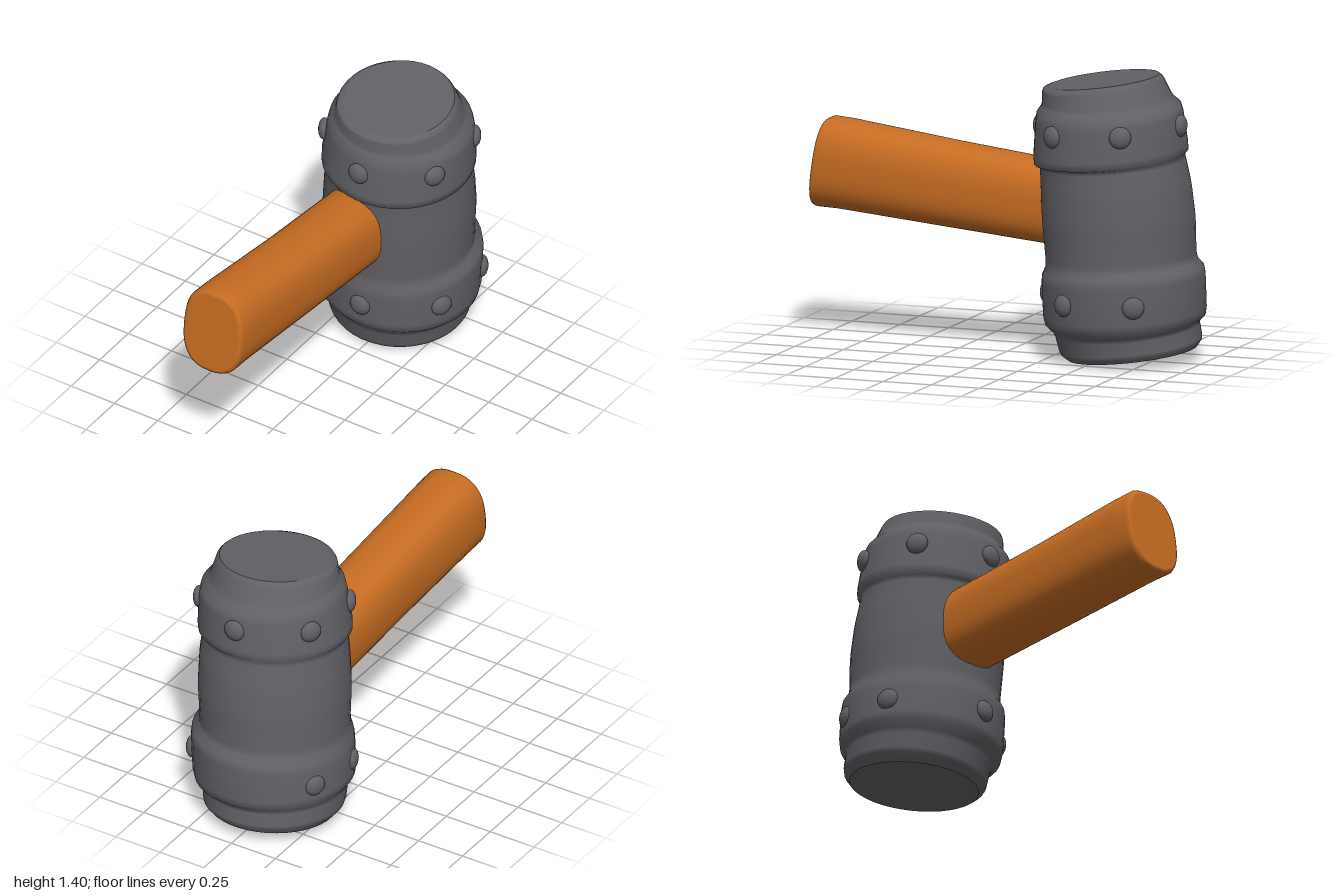
import * as THREE from 'three';

const SEG = 40;

// Skin a list of rings (each an array of SEG points, counter-clockwise round the axis) with flat ends.
function loft(rings) {
  const pos = [], idx = [];
  rings.forEach(r => r.forEach(p => pos.push(...p)));
  for (let i = 0; i < rings.length - 1; i++) {
    for (let j = 0; j < SEG; j++) {
      const k = (j + 1) % SEG;
      const a = i * SEG + j, b = i * SEG + k, c = b + SEG, d = a + SEG;
      idx.push(a, b, c, a, c, d);
    }
  }
  for (const [ring, end] of [[rings[0], false], [rings[rings.length - 1], true]]) {
    const base = pos.length / 3;
    ring.forEach(p => pos.push(...p));
    pos.push(...[0, 1, 2].map(n => ring.reduce((s, p) => s + p[n], 0) / SEG));
    for (let j = 0; j < SEG; j++) {
      const a = base + j, b = base + (j + 1) % SEG;
      idx.push(base + SEG, ...(end ? [a, b] : [b, a]));
    }
  }
  const g = new THREE.BufferGeometry();
  g.setAttribute('position', new THREE.Float32BufferAttribute(pos, 3));
  g.setIndex(idx);
  g.computeVertexNormals();
  return g;
}

const angles = Array.from({ length: SEG }, (_, j) => j / SEG * Math.PI * 2);
const mix = (a, b, t) => a.map((v, i) => v + (b[i] - v) * t);

// Cut every inner corner of a profile to soften it.
function soften(list, t) {
  const out = [list[0]];
  for (let i = 1; i < list.length - 1; i++) {
    out.push(mix(list[i], list[i - 1], t), mix(list[i], list[i + 1], t));
  }
  out.push(list[list.length - 1]);
  return out;
}

// Signed power, for rounded-rectangle sections
const sp = (v, e) => Math.sign(v) * Math.pow(Math.abs(v), e);

export function createModel() {
  const group = new THREE.Group();
  const iron = new THREE.MeshStandardMaterial({ color: 0x626167 });
  iron.name = 'dark grey iron';
  const wood = new THREE.MeshStandardMaterial({ color: 0xc66c22 });
  wood.name = 'orange wood';

  const add = (name, geometry, material) => {
    const m = new THREE.Mesh(geometry, material);
    m.name = name;
    group.add(m);
    return m;
  };

  // Barrel head with two raised bands: centre x, y, z, radius, tilt along x, tilt along z
  const head = [
    [-0.01, 0.035, -0.645, 0.312, -0.01, -0.034],
    [-0.015, 0.07, -0.635, 0.345, -0.022, -0.033],
    [-0.01, 0.165, -0.615, 0.35, -0.025, -0.025],
    [0, 0.21, -0.61, 0.395, -0.03, -0.015],
    [0.014, 0.435, -0.606, 0.396, 0, -0.027],
    [0.008, 0.48, -0.593, 0.363, -0.01, -0.02],
    [0.016, 0.7, -0.583, 0.372, 0, 0],
    [0.023, 0.86, -0.572, 0.364, 0, -0.01],
    [0.03, 0.985, -0.555, 0.35, -0.015, -0.025],
    [0.034, 1.0, -0.55, 0.377, -0.022, -0.032],
    [0.05, 1.23, -0.547, 0.354, -0.022, -0.015],
    [0.047, 1.27, -0.537, 0.316, -0.018, -0.015],
    [0.05, 1.355, -0.513, 0.292, -0.01, -0.03],
    [0.055, 1.371, -0.52, 0.268, -0.005, -0.033],
  ];
  add('hammerHead', loft(soften(head, 0.15).map(([x, y, z, r, tx, tz]) =>
    angles.map(a => {
      const s = Math.sin(a), c = Math.cos(a);
      return [x + r * s, y + tx * s + tz * c, z + r * c];
    }))), iron);

  // Handle: centre x, y, z, half width, half height, backward lean of the section
  const handle = [
    [-0.025, 0.725, -0.45, 0.166, 0.2, 0],
    [-0.027, 0.742, -0.23, 0.168, 0.203, 0],
    [-0.032, 0.797, 0.3, 0.167, 0.209, 0.01],
    [-0.042, 0.857, 0.85, 0.171, 0.218, 0.025],
    [-0.043, 0.863, 0.95, 0.171, 0.22, 0.03],
    [-0.043, 0.863, 0.968, 0.162, 0.211, 0.03],
    [-0.043, 0.863, 0.972, 0.15, 0.198, 0.028],
  ];
  add('handle', loft(handle.map(([x, y, z, w, h, lean]) =>
    angles.map(a => {
      const c = sp(Math.cos(a), 0.78), s = sp(Math.sin(a), 0.78);
      return [x + w * c, y + h * s, z - lean * s];
    }))), wood);

  // Flattened studs round each band
  const studGeometry = new THREE.SphereGeometry(1, 16, 12);
  const bands = [
    { name: 'upperStud', x: 0.04, y: 1.148, z: -0.548, r: 0.364, tx: -0.012, tz: -0.02, at: [0, 61, 119, 180, -119, -61] },
    { name: 'lowerStud', x: 0.01, y: 0.322, z: -0.607, r: 0.392, tx: -0.01, tz: -0.01, at: [3, 63, 118, -117, -72] },
  ];
  for (const b of bands) {
    for (const deg of b.at) {
      const a = THREE.MathUtils.degToRad(deg), s = Math.sin(a), c = Math.cos(a);
      const stud = add(b.name, studGeometry, iron);
      stud.position.set(b.x + b.r * s, b.y + b.tx * s + b.tz * c, b.z + b.r * c);
      stud.rotation.y = a;
      stud.scale.set(0.054, 0.054, 0.03);
    }
  }
  return group;
}
